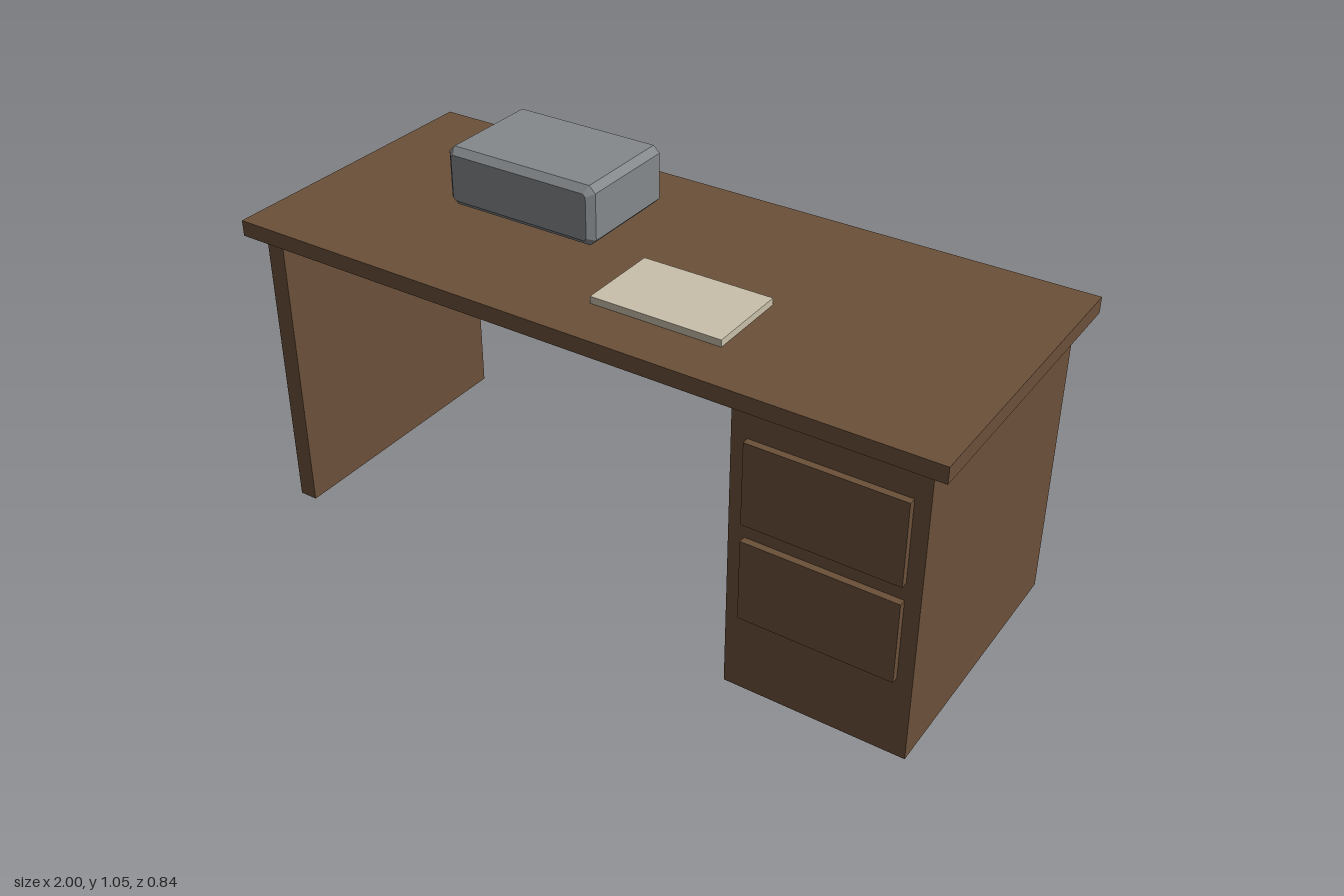
import * as THREE from 'three';

export function createModel() {
  const model = new THREE.Group();
  model.name = 'desk';

  const material = (name, color) => {
    const m = new THREE.MeshStandardMaterial({ color });
    m.name = name;
    return m;
  };
  const wood = material('brown wood', 0x6b5039);
  const grey = material('device grey', 0x84888b);
  const paper = material('paper cream', 0xc8c0aa);

  // Box given by its extents on each axis
  const box = (name, mat, [x0, x1], [y0, y1], [z0, z1]) => {
    const mesh = new THREE.Mesh(new THREE.BoxGeometry(x1 - x0, y1 - y0, z1 - z0), mat);
    mesh.position.set((x0 + x1) / 2, (y0 + y1) / 2, (z0 + z1) / 2);
    mesh.name = name;
    model.add(mesh);
  };

  // Desk
  box('desktop', wood, [-1, 1], [0.828, 0.872], [-0.422, 0.422]);
  box('sidePanel', wood, [-0.955, -0.902], [0, 0.828], [-0.385, 0.385]);
  box('drawerCabinet', wood, [0.46, 0.955], [0, 0.828], [-0.385, 0.385]);
  for (const y of [0.231, 0.507]) {
    box('drawerFront', wood, [0.503, 0.915], [y, y + 0.228], [0.385, 0.404]);
  }

  // Paper stack
  box('paperStack', paper, [0, 0.365], [0.872, 0.891], [0.045, 0.277]);

  // Device: box with cut corners and bevelled ends
  const w = 0.23, h = 0.0825, c = 0.018, depth = 0.322;
  const outline = new THREE.Shape([
    [w - c, -h], [w, -h + c], [w, h - c], [w - c, h],
    [-w + c, h], [-w, h - c], [-w, -h + c], [-w + c, -h],
  ].map(([x, y]) => new THREE.Vector2(x, y)));
  const geometry = new THREE.ExtrudeGeometry(outline, {
    depth: depth - 2 * c, bevelEnabled: true, bevelSegments: 1,
    bevelThickness: c, bevelSize: c, bevelOffset: -c,
  });
  geometry.translate(0, 0, -depth / 2 + c);
  const device = new THREE.Mesh(geometry, grey);
  device.position.set(-0.37, 0.9645, -0.091);
  device.name = 'deskDevice';
  model.add(device);

  return model;
}
